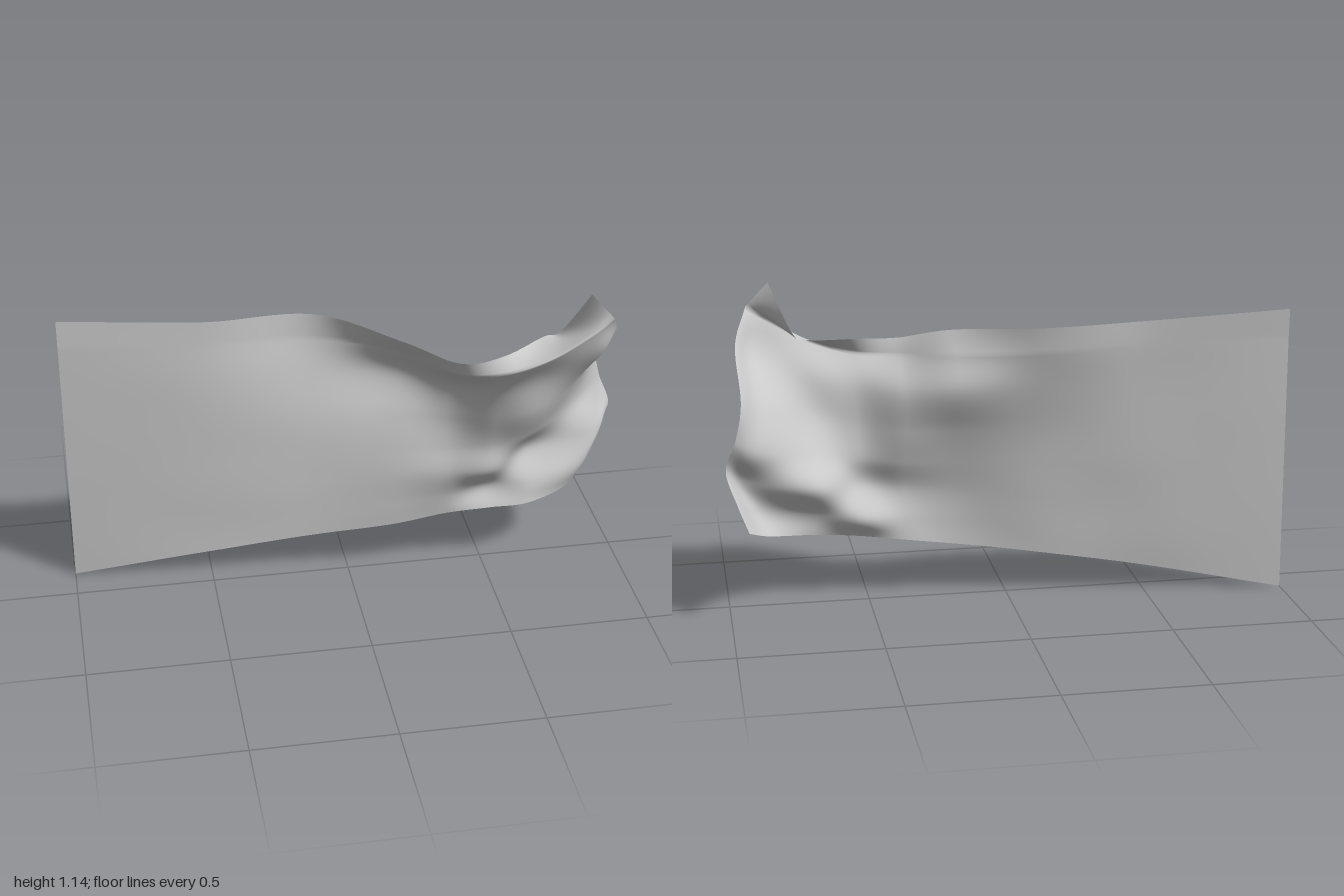
import * as THREE from 'three';

// Shared stations along the cloth, then the heights of its three main lines
const STATIONS = [-1, -0.5, -0.1, 0.18, 0.36, 0.52, 0.68];
const BOTTOM_Y = [0, 0.09, 0.15, 0.185, 0.21, 0.228, 0.24, 0.27, 0.34];
const FOLD_Y = [0.94, 0.925, 0.91, 0.89, 0.865, 0.87, 0.92, 1, 1.05];
const TOP_Y = [1.04, 1.01, 1, 0.965, 0.92, 0.925, 0.945, 0.965, 1.14];

const smooth = (points) => new THREE.CatmullRomCurve3(points, false, 'catmullrom', 0.5);

// Lengthwise guide line ending at endX on the free edge
function guide(ys, endX, zs) {
  const xs = [...STATIONS, endX - 0.08, endX];
  return smooth(xs.map((x, i) => new THREE.Vector3(x, ys[i], zs[i])));
}

// Height line part of the way from the bottom hem to the fold
const between = (t) => BOTTOM_Y.map((y, i) => THREE.MathUtils.lerp(y, FOLD_Y[i], t));

// Body of the cloth, from the bottom hem up to the fold
const BODY = [
  guide(BOTTOM_Y, 0.93, [-0.13, -0.06, -0.015, 0.015, 0.02, 0.035, 0.04, -0.04, -0.215]),
  guide(between(0.12), 0.965, [-0.13, -0.065, -0.02, 0.02, 0.03, 0, 0.02, -0.02, -0.17]),
  guide(between(0.28), 1, [-0.13, -0.07, -0.025, 0.02, 0.05, 0.07, -0.04, -0.05, -0.12]),
  guide(between(0.44), 0.965, [-0.13, -0.075, -0.035, 0, 0.025, 0.07, 0.04, -0.1, -0.15]),
  guide(between(0.62), 0.94, [-0.13, -0.08, -0.055, -0.025, 0.015, 0.1, 0.11, -0.02, -0.12]),
  guide(between(0.84), 0.945, [-0.13, -0.09, -0.09, -0.06, 0.03, 0.13, 0.145, 0.14, 0.07]),
  guide(FOLD_Y, 0.9, [-0.13, -0.1, -0.115, 0, 0.15, 0.195, 0.21, 0.205, 0.19]),
];
const TOP_HEM = guide(TOP_Y, 0.82, [-0.135, -0.105, -0.12, 0.075, 0.18, 0.165, 0.085, 0.09, 0.17]);

// Loft a grid across the guides, with a sharp fold below the top hem
function clothGeometry(cols, rows, hemRows) {
  const total = rows + hemRows;
  const positions = [], indices = [];
  for (let c = 0; c <= cols; c++) {
    const u = c / cols;
    const body = smooth(BODY.map((curve) => curve.getPoint(u)));
    const fold = body.getPoint(1), top = TOP_HEM.getPoint(u);
    for (let r = 0; r <= total; r++) {
      const p = r <= rows ? body.getPoint(r / rows)
        : fold.clone().lerp(top, (r - rows) / hemRows);
      // Faint wrinkles that fade out at the hoist and free edge
      p.z += 0.004 * Math.sin(Math.PI * u) * Math.sin(9 * p.x + 5 * p.y) * Math.sin(11 * p.y - 4 * p.x);
      positions.push(p.x, p.y, p.z);
      if (c < cols && r < total) {
        const a = c * (total + 1) + r, b = a + total + 1;
        indices.push(a, b, b + 1, a, b + 1, a + 1);
      }
    }
  }
  const geometry = new THREE.BufferGeometry();
  geometry.setAttribute('position', new THREE.Float32BufferAttribute(positions, 3));
  geometry.setIndex(indices);
  geometry.computeVertexNormals();
  return geometry;
}

export function createModel() {
  const group = new THREE.Group();
  group.name = 'flag';
  const material = new THREE.MeshStandardMaterial({ color: 0xcccccc, side: THREE.DoubleSide });
  const cloth = new THREE.Mesh(clothGeometry(128, 72, 8), material);
  cloth.name = 'flagCloth';
  group.add(cloth);
  return group;
}
